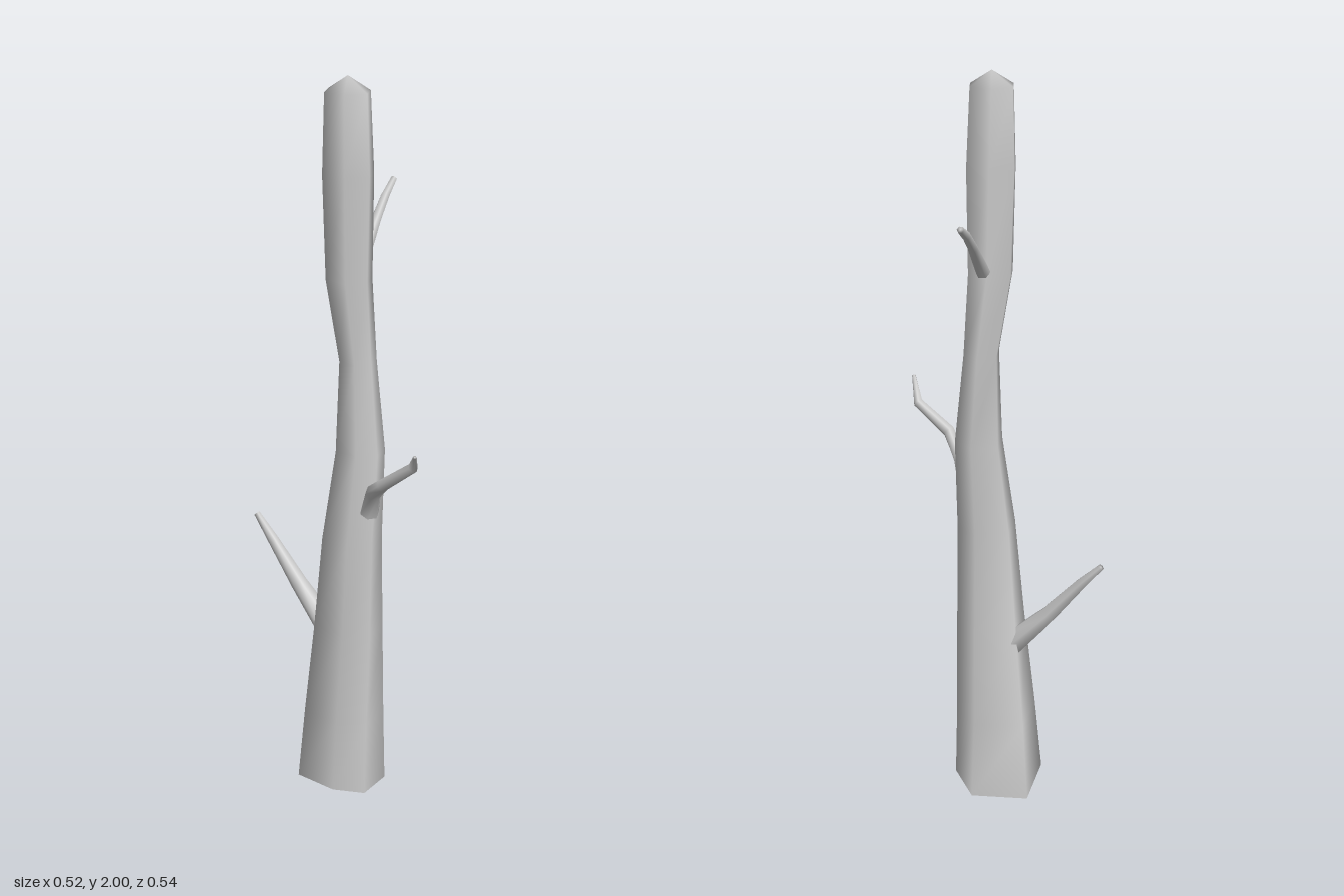
import * as THREE from 'three';

const bark = new THREE.MeshStandardMaterial({ color: 0xcccccc, side: THREE.DoubleSide });

// Skin a list of equal-sized rings; the last ring closes on an apex point
function loft(rings, apex, name) {
  const n = rings[0].length;
  const points = [...rings.flat(), apex];
  const index = [];
  for (let r = 0; r < rings.length; r++) {
    for (let i = 0; i < n; i++) {
      const a = r * n + i, b = r * n + (i + 1) % n;
      if (r === rings.length - 1) index.push(a, b, points.length - 1);
      else index.push(a, b, b + n, a, b + n, a + n);
    }
  }
  const geometry = new THREE.BufferGeometry().setFromPoints(points);
  geometry.setIndex(index);
  geometry.computeVertexNormals();
  const mesh = new THREE.Mesh(geometry, bark);
  mesh.name = name;
  return mesh;
}

// Trunk: irregular six-sided root outline easing into a regular hexagon
function trunk() {
  const root = [[-1, 0.48], [-0.08, 0.98], [0.67, 1], [1, 0.2], [0.6, -0.88], [-0.67, -1]];
  const hex = [[-1, 0.5], [0, 1], [1, 0.5], [1, -0.5], [0, -1], [-1, -0.5]];
  // height, min x, max x, min z, max z
  const levels = [
    [0, -0.1, 0.14, -0.16, 0.09],
    [0.21, -0.08, 0.135, -0.137, 0.088],
    [0.48, -0.05, 0.133, -0.083, 0.085],
    [0.75, -0.025, 0.13, -0.06, 0.09],
    [1.0, 0.01, 0.135, -0.052, 0.075],
    [1.25, 0.018, 0.11, -0.045, 0.062],
    [1.47, -0.018, 0.097, -0.04, 0.06],
    [1.75, -0.025, 0.1, -0.035, 0.07],
    [1.96, -0.02, 0.09, -0.03, 0.065],
  ];
  const rings = levels.map(([y, x0, x1, z0, z1]) => root.map(([rx, rz], i) => {
    const px = THREE.MathUtils.lerp(rx, hex[i][0], y / 2);
    const pz = THREE.MathUtils.lerp(rz, hex[i][1], y / 2);
    return new THREE.Vector3(
      (x0 + x1) / 2 + px * (x1 - x0) / 2, y, (z0 + z1) / 2 + pz * (z1 - z0) / 2);
  }));
  return loft(rings, new THREE.Vector3(0.035, 2, 0.015), 'trunk');
}

// Branch: tapering tube through [x, y, z, radius] stations
function branch(name, stations, sides = 6) {
  const centres = stations.map(([x, y, z]) => new THREE.Vector3(x, y, z));
  const up = new THREE.Vector3(0, 1, 0);
  const rings = centres.map((c, k) => {
    const before = centres[Math.max(k - 1, 0)];
    const after = centres[Math.min(k + 1, centres.length - 1)];
    const dir = after.clone().sub(before).normalize();
    const u = up.clone().cross(dir).normalize();
    const v = dir.clone().cross(u);
    return Array.from({ length: sides }, (_, i) => {
      const a = i / sides * Math.PI * 2, r = stations[k][3];
      return c.clone().addScaledVector(u, r * Math.cos(a)).addScaledVector(v, r * Math.sin(a));
    });
  });
  return loft(rings, centres[centres.length - 1], name);
}

export function createModel() {
  const tree = new THREE.Group();
  tree.name = 'bareTree';
  tree.add(
    trunk(),
    branch('lowerBranch', [
      [-0.02, 0.425, -0.045, 0.036], [-0.12, 0.54, -0.095, 0.024],
      [-0.2, 0.645, -0.135, 0.016], [-0.255, 0.712, -0.165, 0.009]]),
    branch('middleBranch', [
      [0.105, 0.84, 0.063, 0.026], [0.12, 0.91, 0.09, 0.022],
      [0.157, 0.965, 0.165, 0.017], [0.242, 1.035, 0.2, 0.014], [0.256, 1.09, 0.265, 0.005]]),
    branch('upperBranch', [
      [0.058, 1.485, -0.03, 0.02], [0.08, 1.585, -0.15, 0.014],
      [0.094, 1.635, -0.21, 0.012], [0.107, 1.667, -0.265, 0.009]]),
  );
  return tree;
}
